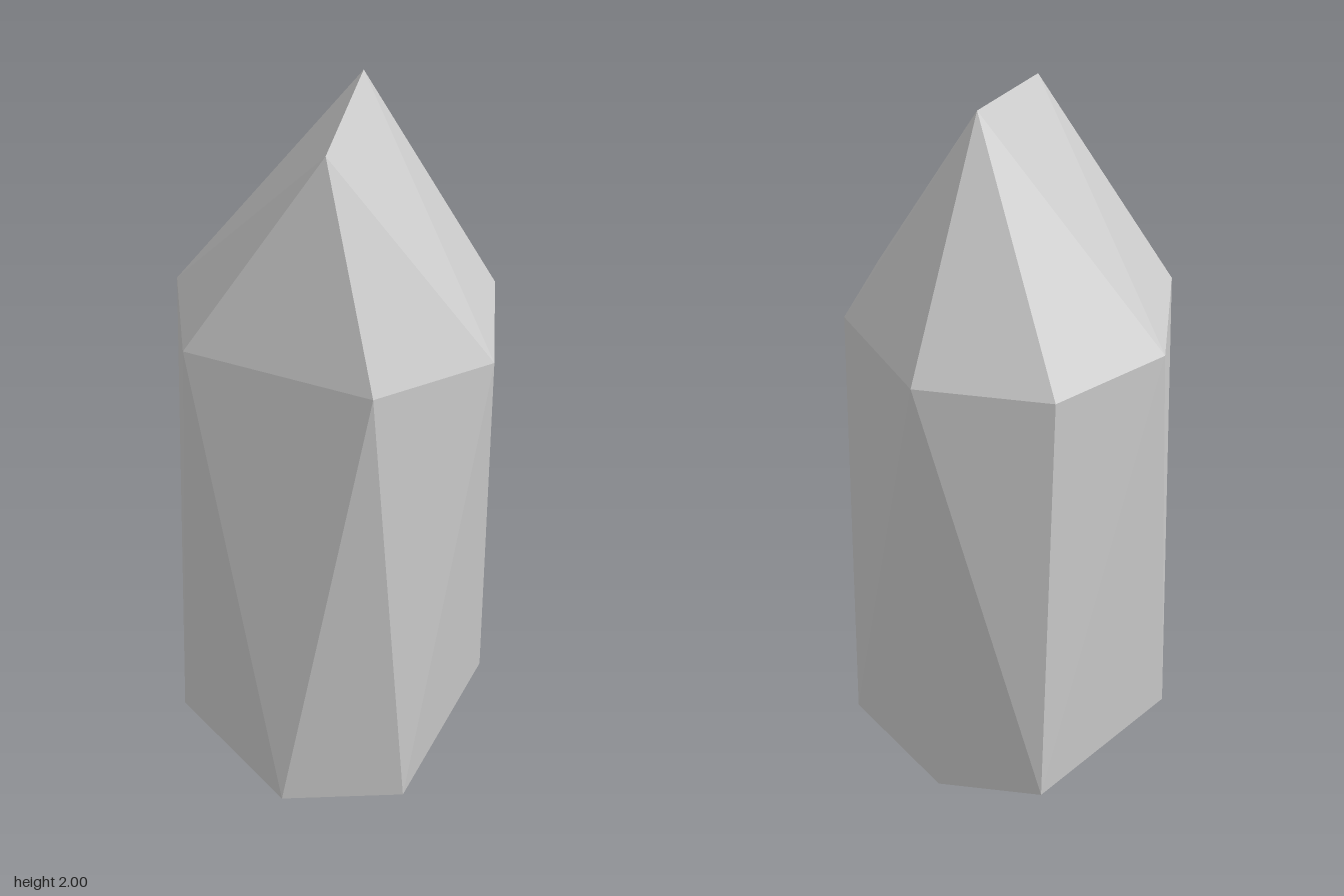
import * as THREE from 'three';
import { ConvexGeometry } from 'three/addons/geometries/ConvexGeometry.js';

// Faceted crystal: the convex skin over a ridge, a shoulder ring and a base ring.
export function createModel() {
  const ridge = [[-0.103, 1.935, 0.193], [0.091, 2, -0.067]];
  const shoulder = [
    [-0.428, 1.383, 0.059], [-0.067, 1.383, 0.42], [0.29, 1.347, 0.323], [0.416, 1.384, 0.028],
    [0.297, 1.384, -0.303], [-0.036, 1.384, -0.423], [-0.337, 1.384, -0.273],
  ];
  // One base corner dips lower, giving the slanted underside
  const base = [
    [-0.284, 0.102, 0.336], [0.024, 0.099, 0.43], [0.426, 0.1, 0],
    [0.241, 0, -0.243], [-0.007, 0.1, -0.434], [-0.405, 0.103, -0.125],
  ];

  const points = [...ridge, ...shoulder, ...base].map(p => new THREE.Vector3(...p));
  const crystal = new THREE.Mesh(
    new ConvexGeometry(points),
    new THREE.MeshStandardMaterial({ color: 0xcccccc, flatShading: true })
  );
  crystal.name = 'crystal';

  const group = new THREE.Group();
  group.name = 'crystalShard';
  group.add(crystal);
  return group;
}
